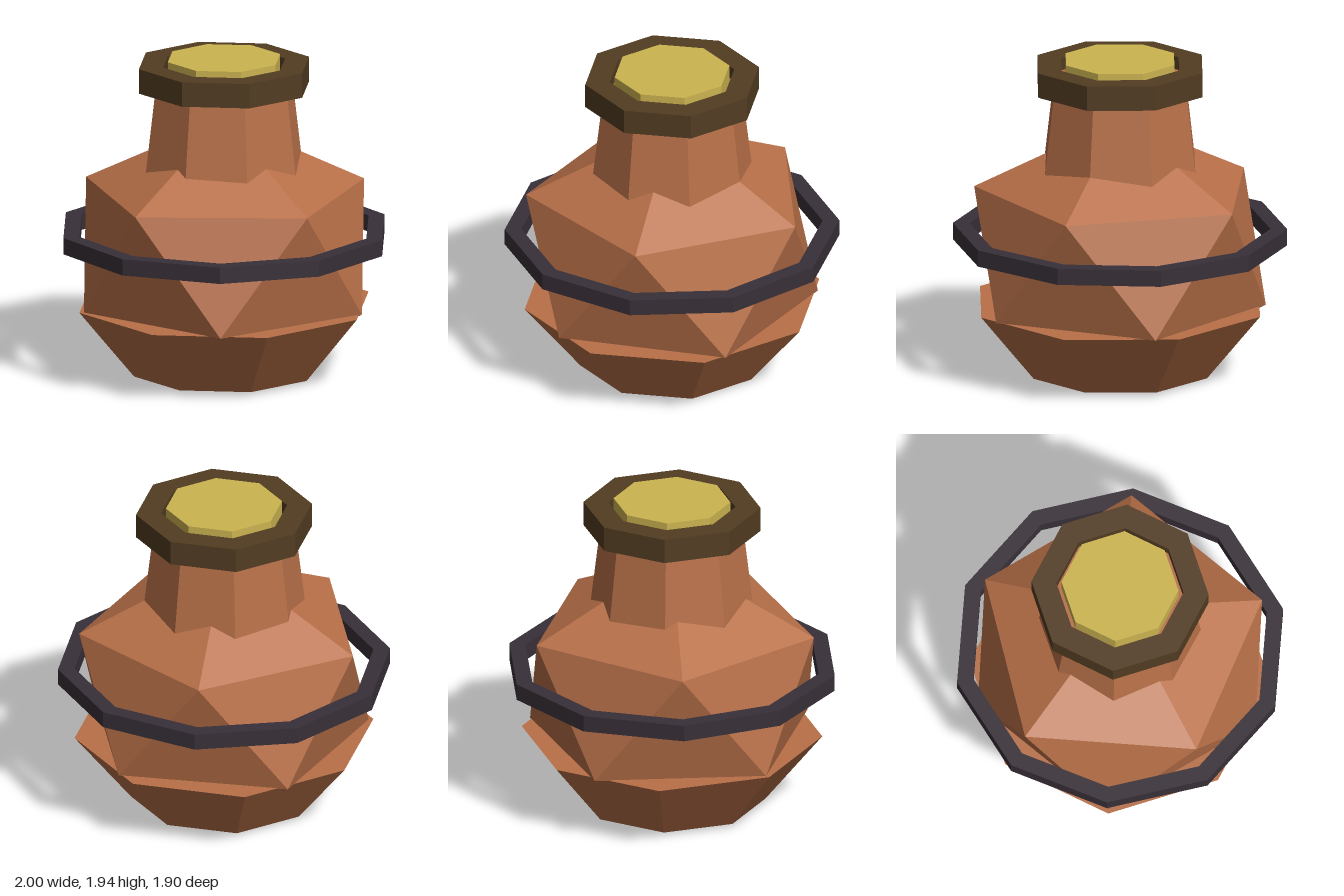
import * as THREE from 'three';

const material = (name, color) => {
  const m = new THREE.MeshStandardMaterial({ color, flatShading: true });
  m.name = name;
  return m;
};

// Straight or tapered closed drum between two heights
const drum = (rTop, rBottom, y0, y1) =>
  new THREE.CylinderGeometry(rTop, rBottom, y1 - y0, 8).translate(0, (y0 + y1) / 2, 0);

// Faceted band with a rectangular section and an open middle
const band = (rInner, rOuter, y0, y1, sides) =>
  new THREE.LatheGeometry(
    [[rInner, y0], [rOuter, y0], [rOuter, y1], [rInner, y1], [rInner, y0]]
      .map(([r, y]) => new THREE.Vector2(r, y)),
    sides, Math.PI / 2
  );

export function createModel() {
  const group = new THREE.Group();
  group.name = 'jar';

  const clay = material('clay', 0xb87048);
  const brown = material('dark brown', 0x523c22);
  const iron = material('dark iron', 0x383038);
  const gold = material('gold', 0xccb450);

  const add = (name, geometry, mat) => {
    const mesh = new THREE.Mesh(geometry, mat);
    mesh.name = name;
    group.add(mesh);
  };

  // Belly: icosahedron stood on one corner, squashed in height
  const belly = new THREE.IcosahedronGeometry(1, 0);
  belly.rotateZ(-Math.atan2(1, (1 + Math.sqrt(5)) / 2));
  belly.scale(0.975, 0.785, 0.975).translate(0, 0.785, 0);
  add('belly', belly, clay);

  // Flared foot and tapered neck
  add('base', drum(0.9, 0.56, 0.02, 0.437), clay);
  add('neck', drum(0.42, 0.502, 1.14, 1.83), clay);

  // Rim, stopper and the loose hoop around the belly
  add('rim', band(0.38, 0.53, 1.76, 1.91, 8), brown);
  add('stopper', drum(0.35, 0.35, 1.8, 1.94), gold);
  add('hoop', band(0.9, 1.0, 0.805, 0.905, 10), iron);

  return group;
}
